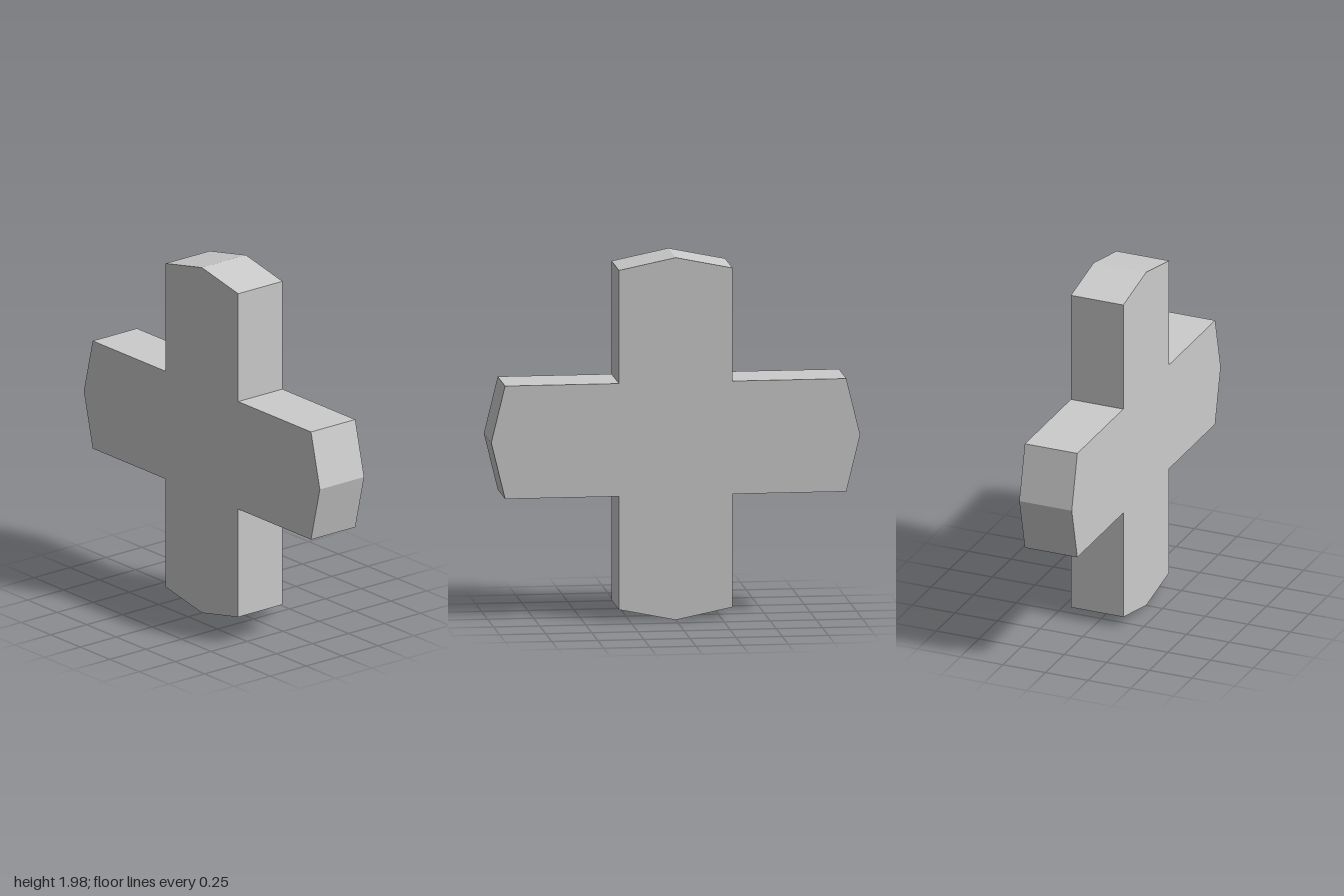
import * as THREE from 'three';

export function createModel() {
  const model = new THREE.Group();
  model.name = 'crossBlock';

  const w = 0.308;       // half width of every arm
  const shoulder = 0.925; // where each arm starts to taper
  const tipZ = 1, tipY = 0.988;
  const thickness = 0.308;

  // One quadrant of the outline, from side tip to just before the top tip
  const quadrant = [[tipZ, 0], [shoulder, w], [w, w], [w, shoulder]];
  const right = [...quadrant, [0, tipY]];
  const upper = [...right, ...quadrant.slice().reverse().map(([a, b]) => [-a, b])];
  const lower = upper.slice(1, -1).reverse().map(([a, b]) => [a, -b]);
  const outline = new THREE.Shape([...upper, ...lower].map(([a, b]) => new THREE.Vector2(a, b)));

  // Plate extruded across x, standing on the ground
  const geometry = new THREE.ExtrudeGeometry(outline, { depth: thickness, bevelEnabled: false });
  geometry.translate(0, 0, -thickness / 2);
  geometry.rotateY(Math.PI / 2);
  geometry.translate(0, tipY, 0);

  const cross = new THREE.Mesh(
    geometry,
    new THREE.MeshStandardMaterial({ color: 0xcccccc, flatShading: true })
  );
  cross.name = 'pointedCross';
  model.add(cross);
  return model;
}
